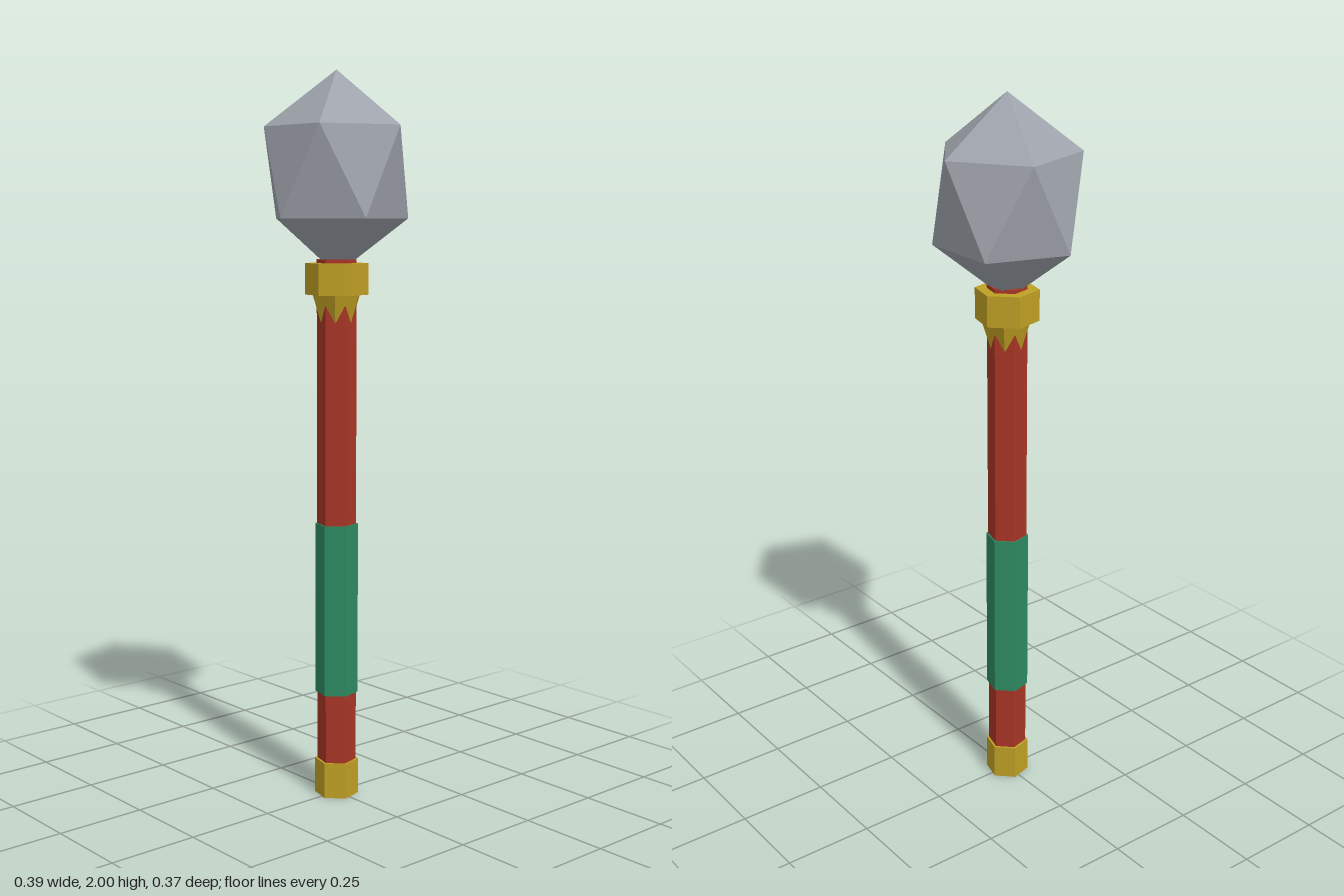
import * as THREE from 'three';

const material = (name, color) => {
  const m = new THREE.MeshStandardMaterial({ color });
  m.name = name;
  return m;
};

// Six-sided faceted column between two heights, turned by an angle about y
function hexColumn(name, mat, y0, y1, rBottom, rTop = rBottom, turn = Math.PI / 4) {
  const geo = new THREE.CylinderGeometry(rTop, rBottom, y1 - y0, 6, 1, false, turn).toNonIndexed();
  geo.computeVertexNormals();
  geo.translate(0, (y0 + y1) / 2, 0);
  const mesh = new THREE.Mesh(geo, mat);
  mesh.name = name;
  return mesh;
}

// Stretched icosahedron standing on one of its corners
function faceted(name, mat, radius, halfHeight, y) {
  const geo = new THREE.IcosahedronGeometry(radius, 0);
  const golden = (1 + Math.sqrt(5)) / 2;
  geo.rotateZ(-Math.atan(1 / golden));
  geo.scale(1, halfHeight / radius, 1);
  geo.translate(0, y, 0);
  geo.computeVertexNormals();
  const mesh = new THREE.Mesh(geo, mat);
  mesh.name = name;
  return mesh;
}

export function createModel() {
  const red = material('red wood', 0xa83626);
  const green = material('green wrap', 0x2d8a62);
  const gold = material('gold', 0xc0a024);
  const grey = material('grey stone', 0x9fa4ac);

  const group = new THREE.Group();
  group.name = 'mace';
  group.add(
    hexColumn('shaft', red, 0.01, 1.5, 0.054),
    hexColumn('pommel', gold, 0, 0.1, 0.061),
    hexColumn('grip', green, 0.295, 0.775, 0.059),
    // The tapered socket is turned half a side, so it meets the shaft in points
    hexColumn('socket', gold, 1.33, 1.405, 0.047, 0.071, Math.PI / 12),
    hexColumn('collar', gold, 1.405, 1.49, 0.086),
    faceted('head', grey, 0.217, 0.27, 1.73)
  );
  return group;
}
